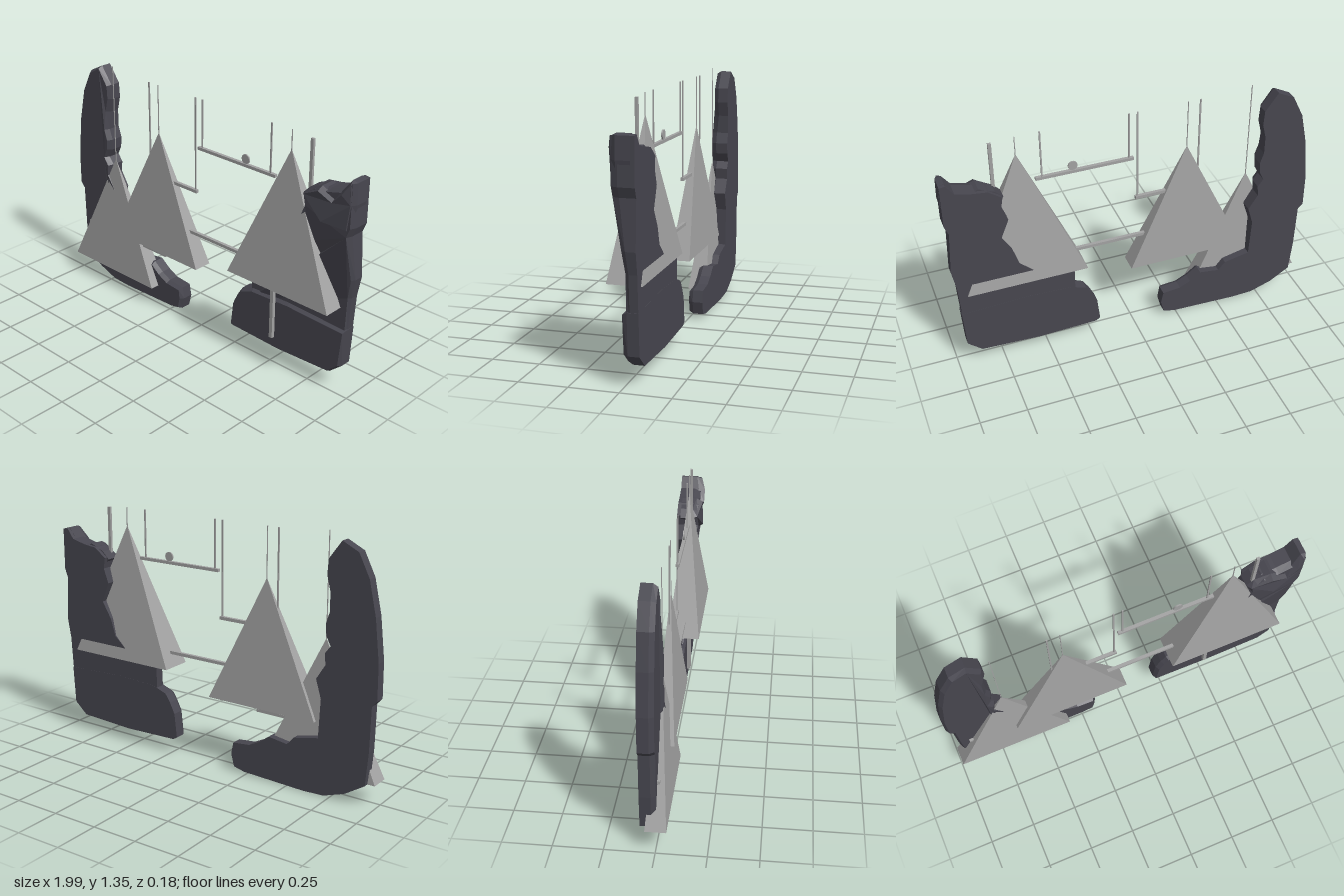
import * as THREE from 'three';

const rockMaterial = new THREE.MeshStandardMaterial({ color: 0x47464f, flatShading: true });
rockMaterial.name = 'dark slate';
const metalMaterial = new THREE.MeshStandardMaterial({ color: 0xa2a2a2, flatShading: true });
metalMaterial.name = 'light grey';

// Flat-backed rock slab: an outline (counter-clockwise) lofted forward, with a chamfered uneven front
function rockGeometry(outline, back, frontZ, inset) {
  const n = outline.length;
  const pts = outline.map(([x, y]) => new THREE.Vector2(x, y));
  const inner = pts.map((p, i) => {
    const d = pts[(i + 1) % n].clone().sub(pts[(i + n - 1) % n]).normalize();
    return new THREE.Vector2(p.x - d.y * inset, p.y + d.x * inset);
  });
  const ring = (ps, t) => ps.map((p) =>
    new THREE.Vector3(p.x, p.y, back + (frontZ(p.x, p.y) - back) * t));
  const rings = [ring(pts, 0), ring(pts, 0.7), ring(inner, 1)];
  const verts = [];
  const tri = (...vs) => vs.forEach((v) => verts.push(v.x, v.y, v.z));
  for (let k = 0; k < 2; k++) {
    for (let i = 0; i < n; i++) {
      const j = (i + 1) % n, a = rings[k], b = rings[k + 1];
      tri(a[i], a[j], b[j]);
      tri(a[i], b[j], b[i]);
    }
  }
  for (const [a, b, c] of THREE.ShapeUtils.triangulateShape(pts, [])) {
    tri(rings[2][a], rings[2][b], rings[2][c]);
    tri(rings[0][a], rings[0][c], rings[0][b]);
  }
  const g = new THREE.BufferGeometry();
  g.setAttribute('position', new THREE.Float32BufferAttribute(verts, 3));
  g.computeVertexNormals();
  return g;
}

export function createModel() {
  const model = new THREE.Group();
  const add = (name, geometry, material, x = 0, y = 0, z = 0) => {
    const mesh = new THREE.Mesh(geometry, material);
    mesh.name = name;
    mesh.position.set(x, y, z);
    model.add(mesh);
    return mesh;
  };
  // Box given by its x and y limits
  const bar = (name, x0, x1, y0, y1, depth, z = 0) =>
    add(name, new THREE.BoxGeometry(x1 - x0, y1 - y0, depth), metalMaterial,
      (x0 + x1) / 2, (y0 + y1) / 2, z);

  // L-shaped rock on the model's right
  add('tallRock', rockGeometry([
    [-0.78, 1.325], [-0.87, 1.28], [-0.93, 1.16], [-0.97, 0.98], [-0.995, 0.76],
    [-0.997, 0.57], [-0.97, 0.54], [-0.965, 0.3], [-0.95, 0.12], [-0.84, 0.05],
    [-0.72, 0.008], [-0.6, 0.003], [-0.24, 0.015], [-0.175, 0.03], [-0.157, 0.1],
    [-0.17, 0.165], [-0.27, 0.175], [-0.33, 0.205], [-0.39, 0.25], [-0.5, 0.235],
    [-0.54, 0.28], [-0.68, 0.31], [-0.69, 0.52], [-0.66, 0.62], [-0.71, 0.7],
    [-0.705, 0.76], [-0.735, 0.8], [-0.71, 0.85], [-0.705, 0.91], [-0.725, 0.97],
    [-0.725, 1.07], [-0.705, 1.15], [-0.71, 1.23],
  ], -0.08, (x, y) => (x > -0.75 && y > 0.6 && y < 1 ? 0.015 : 0), 0.015), rockMaterial);

  // Rock on the model's left: body, lower block and overhanging head
  add('wideRockBody', rockGeometry([
    [0.34, 0.3], [0.95, 0.3], [0.965, 0.55], [0.985, 0.66], [0.97, 0.9],
    [0.99, 0.95], [0.99, 1.18], [0.96, 1.185], [0.92, 1.13], [0.84, 1.11],
    [0.76, 1.1], [0.69, 1.05], [0.7, 0.99], [0.67, 0.91], [0.715, 0.8],
    [0.66, 0.71], [0.63, 0.615], [0.5, 0.5], [0.34, 0.48],
  ], -0.08, (x, y) => -0.02 + 0.055 * THREE.MathUtils.smoothstep(y, 0.55, 0.92), 0.012), rockMaterial);
  add('wideRockBase', rockGeometry([
    [0.205, 0.105], [0.23, 0.09], [0.55, 0.08], [0.87, 0.095], [0.945, 0.16],
    [0.957, 0.37], [0.6, 0.385], [0.36, 0.375], [0.28, 0.345], [0.25, 0.3], [0.22, 0.24],
  ], -0.081, () => 0, 0.014), rockMaterial);
  add('wideRockHead', rockGeometry([
    [0.68, 1.04], [0.74, 0.98], [0.82, 0.93], [0.97, 0.925], [0.993, 1.07],
    [0.99, 1.18], [0.96, 1.188], [0.92, 1.13], [0.88, 1.08], [0.8, 1.115], [0.72, 1.08],
  ], -0.06, (x) => (x < 0.78 ? 0.035 : x > 0.94 ? 0.04 : 0.058), 0.018), rockMaterial);

  // Hanging pyramids with their lines: centre x, base y, apex y, depth, line top
  for (const [name, x, y0, y1, depth, top] of [
    ['lowPyramid', -0.667, 0.12, 0.81, 0.105, 1.35],
    ['middlePyramid', -0.315, 0.375, 1.065, 0.105, 1.33],
    ['highPyramid', 0.591, 0.485, 1.23, 0.176, 1.33],
  ]) {
    const g = new THREE.ConeGeometry(Math.SQRT1_2, 1, 4).rotateY(Math.PI / 4).toNonIndexed();
    g.scale(0.648, y1 - y0, depth);
    g.computeVertexNormals();
    add(name, g, metalMaterial, x, (y0 + y1) / 2, 0);
    bar(name + 'Line', x - 0.002, x + 0.002, y1 - 0.01, top, 0.004);
  }

  // Horizontal bars
  bar('upperSwingBar', -0.02, 0.5, 1.054, 1.07, 0.018);
  bar('middleSwingBar', -0.405, -0.03, 0.802, 0.819, 0.018);
  bar('linkBar', -0.2, 0.45, 0.552, 0.569, 0.018);
  bar('lowerBar', -0.905, -0.265, 0.337, 0.353, 0.018, 0.005);

  // Swing suspension lines
  for (const [x, y] of [[0.005, 1.06], [0.465, 1.06], [-0.382, 0.81], [-0.042, 0.81]])
    bar('swingLine', x - 0.004, x + 0.004, y, 1.33, 0.006);

  // Upright posts
  bar('lowerPost', 0.503, 0.523, 0.155, 0.49, 0.02, 0.01);
  bar('upperPost', 0.706, 0.723, 1.06, 1.32, 0.014);

  // Small disc on the upper swing
  add('disc', new THREE.CylinderGeometry(0.025, 0.025, 0.008, 20).rotateX(Math.PI / 2),
    metalMaterial, 0.304, 1.094, 0);

  return model;
}
